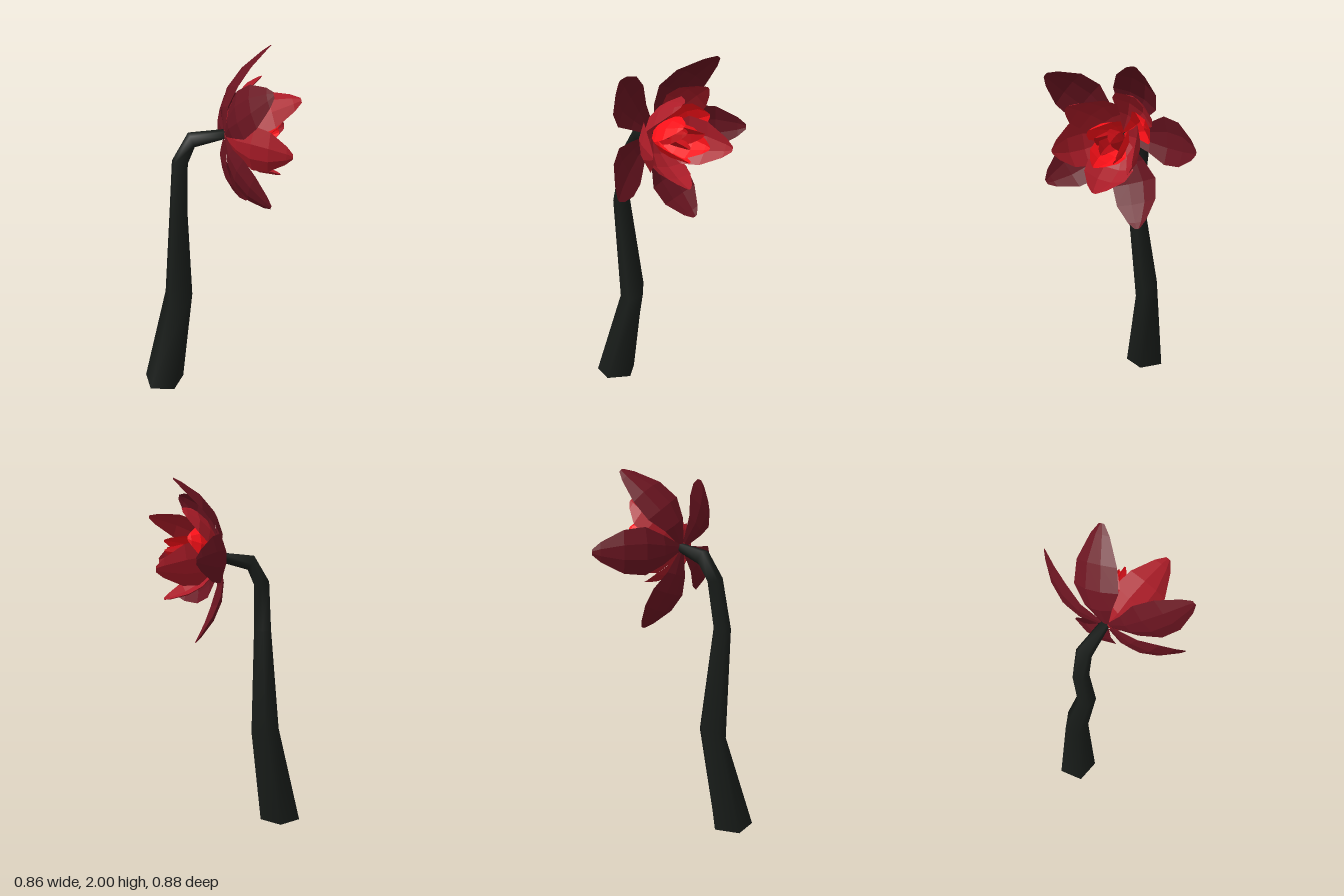
import * as THREE from 'three';

const V = (x, y, z) => new THREE.Vector3(x, y, z);
const material = (color, flat) => new THREE.MeshStandardMaterial({
  color, flatShading: flat, side: THREE.DoubleSide, roughness: 0.8,
});

// Flower axis runs along +x through this point
const HEART = V(0.05, 1.58, 0.04);

function gridGeometry(points, index) {
  const g = new THREE.BufferGeometry().setFromPoints(points);
  g.setIndex(index);
  g.computeVertexNormals();
  return g;
}

// Cupped leaf swept along a curve from the heart to the tip
const WIDTHS = [[0, 0.16], [0.25, 0.62], [0.48, 1], [0.72, 0.9], [0.93, 0.42], [1, 0.12]];
const ACROSS = 3;

function petalGeometry({ tip, bend, bendX, width, cup }) {
  const radial = V(0, tip.y - HEART.y, tip.z - HEART.z);
  const side = V(1, 0, 0).cross(radial.clone().normalize());
  const base = HEART.clone().addScaledVector(radial, 0.05);
  const control = HEART.clone().addScaledVector(radial, bend).setX(bendX);
  const curve = new THREE.QuadraticBezierCurve3(base, control, tip);
  const points = [], index = [];
  WIDTHS.forEach(([t, w], row) => {
    const centre = curve.getPoint(t);
    const inward = curve.getTangent(t).cross(side).normalize();
    for (let i = 0; i <= ACROSS; i++) {
      const u = (i / ACROSS) * 2 - 1;
      points.push(centre.clone()
        .addScaledVector(side, u * w * width / 2)
        .addScaledVector(inward, u * u * w * cup));
      if (row && i) {
        const a = (row - 1) * (ACROSS + 1) + i - 1, b = a + ACROSS + 1;
        index.push(a, a + 1, b, a + 1, b + 1, b);
      }
    }
  });
  return gridGeometry(points, index);
}

function petalRing(name, color, tips, shape) {
  const ring = new THREE.Group();
  ring.name = name;
  const mat = material(color, true);
  tips.forEach(([x, y, z], i) => {
    const mesh = new THREE.Mesh(petalGeometry({ tip: V(x, y, z), ...shape }), mat);
    mesh.name = `${name}${i + 1}`;
    ring.add(mesh);
  });
  return ring;
}

// Five-sided stalk: centre, ring normal and radius of each section
function stem() {
  const SIDES = 5;
  const sections = [
    [V(-0.318, 0, 0.03), V(0, 1, 0), 0.122],
    [V(-0.207, 0.56, -0.018), V(0, 1, 0.7), 0.084],
    [V(-0.208, 1.15, 0.058), V(0, 1, 0), 0.052],
    [V(-0.187, 1.43, 0.015), V(0.25, 1, -0.1), 0.046],
    [V(-0.118, 1.548, 0), V(1, 0.4, 0), 0.046],
    [V(0.06, 1.58, 0.028), V(1, 0.1, 0.1), 0.028],
  ];
  const points = [], index = [];
  sections.forEach(([centre, normal, radius], row) => {
    const n = normal.normalize();
    const v = V(0, 0, 1).addScaledVector(n, -n.z).normalize();
    const u = n.clone().cross(v);
    for (let i = 0; i < SIDES; i++) {
      const a = (i / SIDES) * Math.PI * 2 - 0.07;
      points.push(centre.clone()
        .addScaledVector(u, Math.cos(a) * radius)
        .addScaledVector(v, Math.sin(a) * radius));
      if (row) {
        const j = (i + 1) % SIDES, p = (row - 1) * SIDES, q = row * SIDES;
        index.push(p + i, q + i, p + j, p + j, q + i, q + j);
      }
    }
  });
  // Separate end caps keep the rims sharp
  for (const [row, flip] of [[0, false], [sections.length - 1, true]]) {
    const start = points.length;
    for (let i = 0; i < SIDES; i++) points.push(points[row * SIDES + i].clone());
    for (let i = 1; i < SIDES - 1; i++) {
      index.push(start, start + (flip ? i + 1 : i), start + (flip ? i : i + 1));
    }
  }
  // Make the faces point outwards whichever way the rings wind
  const [a, b, c] = index.slice(0, 3).map((k) => points[k]);
  const facing = b.clone().sub(a).cross(c.clone().sub(a));
  if (facing.dot(a.clone().sub(sections[0][0])) < 0) index.reverse();
  const mesh = new THREE.Mesh(gridGeometry(points, index), material(0x181c19, false));
  mesh.name = 'stem';
  return mesh;
}

export function createModel() {
  const model = new THREE.Group();
  model.name = 'flower';
  model.add(stem());

  model.add(petalRing('outerPetal', 0x6a1420, [
    [0.21, 1.91, 0.41], [0.34, 2.0, -0.14], [0.28, 1.59, -0.44],
    [0.22, 1.12, -0.11], [0.21, 1.32, 0.43],
  ], { bend: 0.62, bendX: 0.0, width: 0.26, cup: 0.03 }));

  model.add(petalRing('middlePetal', 0xac1c28, [
    [0.42, 1.8, 0.19], [0.29, 1.84, -0.12], [0.44, 1.53, -0.16],
    [0.36, 1.34, 0.08], [0.35, 1.54, 0.32],
  ], { bend: 0.88, bendX: 0.1, width: 0.26, cup: 0.04 }));

  model.add(petalRing('innerPetal', 0xff1018, [
    [0.36, 1.48, 0.08], [0.27, 1.69, -0.16], [0.38, 1.54, -0.05], [0.35, 1.67, 0.11],
  ], { bend: 1.15, bendX: 0.13, width: 0.19, cup: 0.035 }));

  // Tight bud of small leaves curling over the heart
  model.add(petalRing('budPetal', 0xc00c14, [
    [0.34, 1.63, 0.08], [0.37, 1.62, -0.02], [0.33, 1.54, 0.05],
  ], { bend: 1.2, bendX: 0.16, width: 0.13, cup: 0.04 }));

  return model;
}
